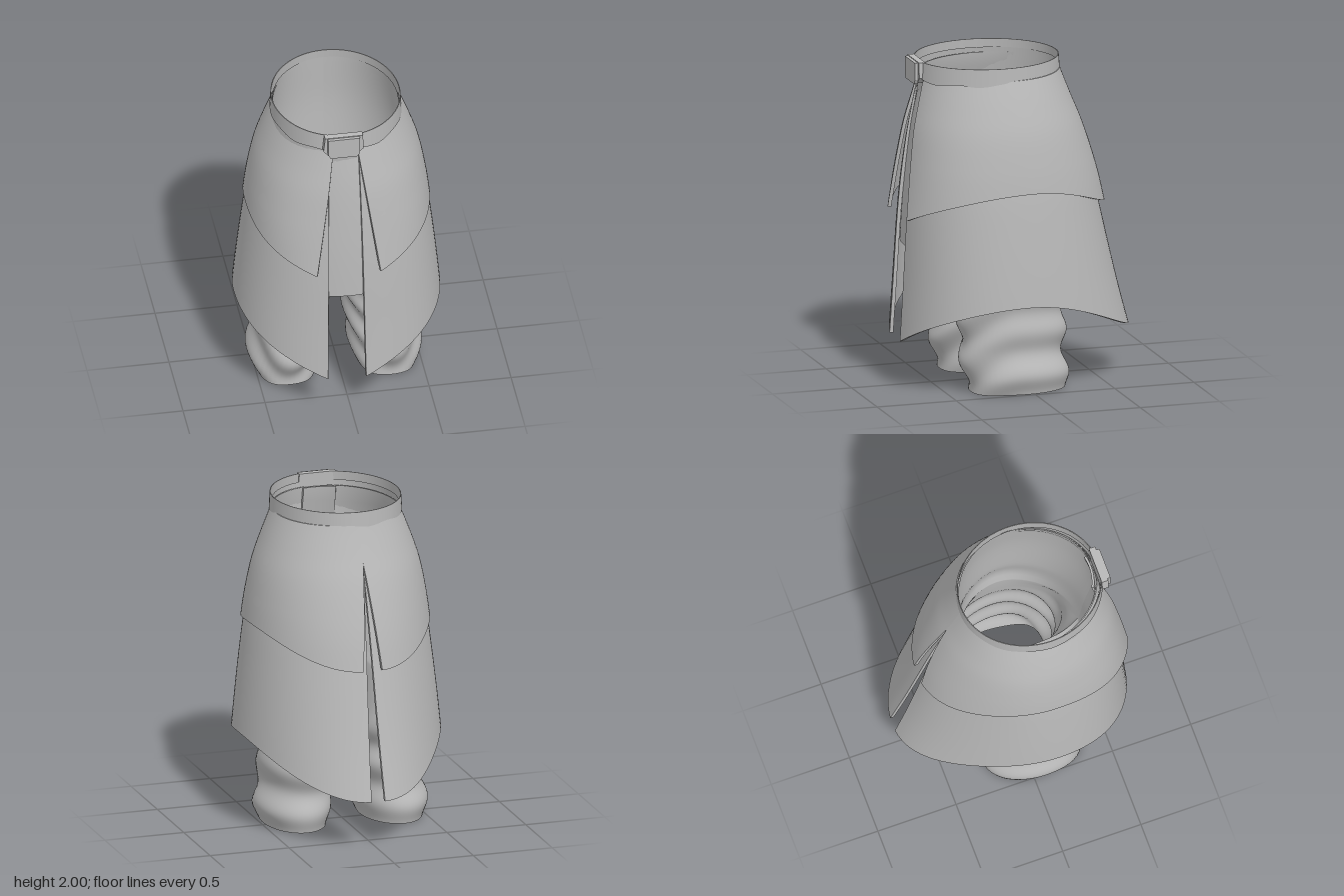
import * as THREE from 'three';
import { mergeGeometries, mergeVertices } from 'three/addons/utils/BufferGeometryUtils.js';

const { lerp, clamp, smoothstep } = THREE.MathUtils;

// Surface from a rule f(u, v) -> [x, y, z]
function grid(f, nu, nv) {
  const pos = [], idx = [];
  for (let j = 0; j <= nv; j++)
    for (let i = 0; i <= nu; i++) pos.push(...f(i / nu, j / nv));
  const w = nu + 1;
  for (let j = 0; j < nv; j++)
    for (let i = 0; i < nu; i++) {
      const a = j * w + i;
      idx.push(a, a + w, a + 1, a + 1, a + w, a + w + 1);
    }
  const g = new THREE.BufferGeometry();
  g.setAttribute('position', new THREE.Float32BufferAttribute(pos, 3));
  g.setIndex(idx);
  g.computeVertexNormals();
  return g;
}

// Thick cloth from P(u, v, w): w = 0 outside, w = 1 inside, sharp rims
function cloth(P, nu, nv) {
  return mergeGeometries([
    grid((u, v) => P(u, v, 0), nu, nv),
    grid((u, v) => P(1 - u, v, 1), nu, nv),
    grid((u, w) => P(u, 1, w), nu, 1),
    grid((u, w) => P(1 - u, 0, w), nu, 1),
    grid((w, v) => P(0, v, 1 - w), 1, nv),
    grid((w, v) => P(1, v, w), 1, nv),
  ]);
}

// Smooth lookup through rows of [y, ...values], y ascending
function profile(rows) {
  const n = rows[0].length - 1;
  const c = new THREE.CubicInterpolant(rows.map(r => r[0]), rows.flatMap(r => r.slice(1)), n);
  const lo = rows[0][0], hi = rows[rows.length - 1][0];
  return y => Array.from(c.evaluate(clamp(y, lo, hi)));
}

// Skirt layers: y, half width, front z, back z
const upperShape = profile([
  [1.05, 0.58, 0.73, -0.578], [1.25, 0.56, 0.7, -0.533], [1.4, 0.54, 0.678, -0.49],
  [1.6, 0.5, 0.645, -0.422], [1.75, 0.45, 0.607, -0.36], [1.9, 0.391, 0.567, -0.302], [1.95, 0.37, 0.555, -0.285],
]);
const lowerShape = profile([
  [0.28, 0.645, 0.725, -0.73], [0.6, 0.622, 0.705, -0.645], [1.05, 0.575, 0.678, -0.54],
  [1.25, 0.548, 0.66, -0.495], [1.6, 0.478, 0.615, -0.4], [1.9, 0.381, 0.556, -0.293],
]);

// Point on the egg-shaped section at height y; angle t runs front to back.
// bulge = [front, back] swells or narrows the section at its diagonals
function onShape(shape, side, y, t, inset, bulge) {
  const [a, f, b] = shape(y);
  const zc = 0.1;
  const behind = Math.cos(t) < 0;
  const rz = behind ? zc - b : f - zc;
  const k = 1 + bulge[behind ? 1 : 0] * Math.sin(2 * t) ** 2 * (1 - smoothstep(y, 1.2, 1.9));
  return [side * (a * k - inset) * Math.sin(t), y, zc + (rz * k - inset) * Math.cos(t)];
}

// One side of a skirt layer, with slanted front and back edges
function skirtPanel(shape, side, o) {
  return cloth((u, v, w) => {
    const s = Math.sin(Math.PI * u);
    const hem = u < 0.5 ? lerp(o.hemFront, o.hemSide, s) : lerp(o.hemBack, o.hemSide, s * s);
    const y = lerp(1.92, hem, v);
    const a = shape(y)[0];
    const front = lerp(o.front[0], o.front[1], clamp((1.9 - y) / (1.9 - o.hemFront), 0, 1));
    const back = lerp(-0.01 * side, o.back, clamp((1.7 - y) / (1.7 - o.hemBack), 0, 1));
    const t = lerp(Math.asin(front / a), Math.PI - Math.asin(back / a), u);
    return onShape(shape, side, y, t, w * lerp(0.004, 0.022, Math.min(1, v * 4)), o.bulge);
  }, 48, 30);
}

// Trousers: y, leg centre, outer, inner, z centre, z radius
const CROTCH = 0.92;
const trouserShape = profile([
  [0, 0.31, 0.195, 0.205, 0.045, 0.305], [0.1, 0.31, 0.21, 0.215, 0.065, 0.315],
  [0.28, 0.29, 0.2, 0.22, 0.08, 0.32], [0.42, 0.285, 0.205, 0.23, 0.08, 0.325],
  [0.6, 0.25, 0.235, 0.225, 0.08, 0.335], [0.8, 0.15, 0.31, 0.14, 0.09, 0.34],
  [CROTCH, 0, 0.45, 0, 0.1, 0.36], [1.2, 0, 0.44, 0, 0.11, 0.385],
  [1.6, 0, 0.425, 0, 0.13, 0.42], [1.95, 0, 0.378, 0, 0.145, 0.43],
]);
function trouserPoint(side, y, t) {
  const [cx, ro, ri, zc, rz] = trouserShape(y);
  const above = y >= CROTCH - 1e-6;
  const c = Math.cos(t), s = Math.sin(t);
  // wrapped folds on the lower legs, dipping to a V at the front
  const fade = 1 - smoothstep(y, 0.5, 0.75);
  const dip = (s > 0 ? 0.19 : 0.02) * s * s;
  const k = 1 + 0.06 * fade * Math.cos(Math.PI * 8 * (y + dip - 0.12));
  const x = (above ? 0 : Math.max(cx, 0)) + k * c * (c > 0 ? ro : above ? 0 : Math.max(ri, 0));
  // the crotch seam climbs toward the front and back
  const lift = 0.2 * s ** 4 * smoothstep(y, 0.5, CROTCH) * (1 - smoothstep(y, CROTCH, 1.95));
  return [side * x - 0.01, y + lift, zc + k * rz * s];
}
function trouserLeg(side) {
  const legs = grid((u, v) => trouserPoint(side, CROTCH * (1 - v), -Math.PI / 2 + u * Math.PI * 2), 48, 64);
  const hip = grid((u, v) => trouserPoint(side, lerp(1.95, CROTCH, v), -Math.PI / 2 + u * Math.PI), 24, 24);
  const all = mergeGeometries([legs, hip]);
  all.deleteAttribute('normal');
  const g = mergeVertices(all, 1e-4);
  g.computeVertexNormals();
  return g;
}

export function createModel() {
  const model = new THREE.Group();
  const grey = new THREE.MeshStandardMaterial({ color: 0xb8b8b8, side: THREE.DoubleSide });
  grey.name = 'grey cloth';
  const add = (name, geometry) => {
    const m = new THREE.Mesh(geometry, grey);
    m.name = name;
    model.add(m);
  };

  for (const side of [1, -1]) {
    const left = side > 0;
    const name = left ? 'left' : 'right';
    add(name + 'UpperSkirt', skirtPanel(upperShape, side, {
      hemFront: 1.05, hemSide: 1.255, hemBack: 1.08,
      front: left ? [0.05, 0.17] : [0.09, 0.21], back: left ? 0.05 : 0.07,
      bulge: left ? [0.035, 0.005] : [0.06, -0.025],
    }));
    add(name + 'LowerSkirt', skirtPanel(lowerShape, side, {
      hemFront: 0.285, hemSide: 0.57, hemBack: 0.305,
      front: left ? [0.06, 0.08] : [0.125, 0.15], back: left ? 0.05 : 0.035,
      bulge: left ? [0.03, 0.005] : [0.03, -0.045],
    }));
    add(name + 'TrouserLeg', trouserLeg(side));
  }

  // Hanging strip in the front opening
  add('frontFlap', cloth((u, v, w) => {
    const y = lerp(1.92, 0.86, v);
    const x = lerp(lerp(-0.14, -0.155, v), lerp(0.07, 0.08, v), u);
    const t = Math.asin(x / lowerShape(y)[0]);
    return onShape(lowerShape, 1, y, t, 0.01 + 0.012 * v + w * 0.015, [0, 0]);
  }, 8, 24));

  // Waistband with an uneven lower edge
  add('waistband', cloth((u, v, w) => {
    const t = u * Math.PI * 2, r = 1 - w * 0.012;
    const bottom = 1.9 - 0.012 * Math.cos(t) + 0.007 * Math.sin(9 * t);
    const flare = 1 + 0.014 * v;
    return [-0.01 + 0.39 * r * flare * Math.sin(t), lerp(2, bottom, v),
      0.147 + 0.44 * r * flare * Math.cos(t)];
  }, 72, 4));

  // Belt clasp: folded end behind, raised tab in front
  const plate = (pts, depth, z) => {
    const g = new THREE.ExtrudeGeometry(new THREE.Shape(pts.map(p => new THREE.Vector2(...p))),
      { depth, bevelEnabled: false });
    return g.translate(0, 0, z);
  };
  add('claspBase', plate([[-0.16, 1.905], [-0.13, 1.87], [0.05, 1.87], [0.085, 1.905], [0.08, 2], [-0.15, 2]], 0.04, 0.56));
  add('claspTab', plate([[-0.135, 1.89], [-0.12, 1.862], [0.045, 1.862], [0.06, 1.89], [0.06, 1.995], [-0.135, 1.995]], 0.025, 0.595));

  return model;
}
